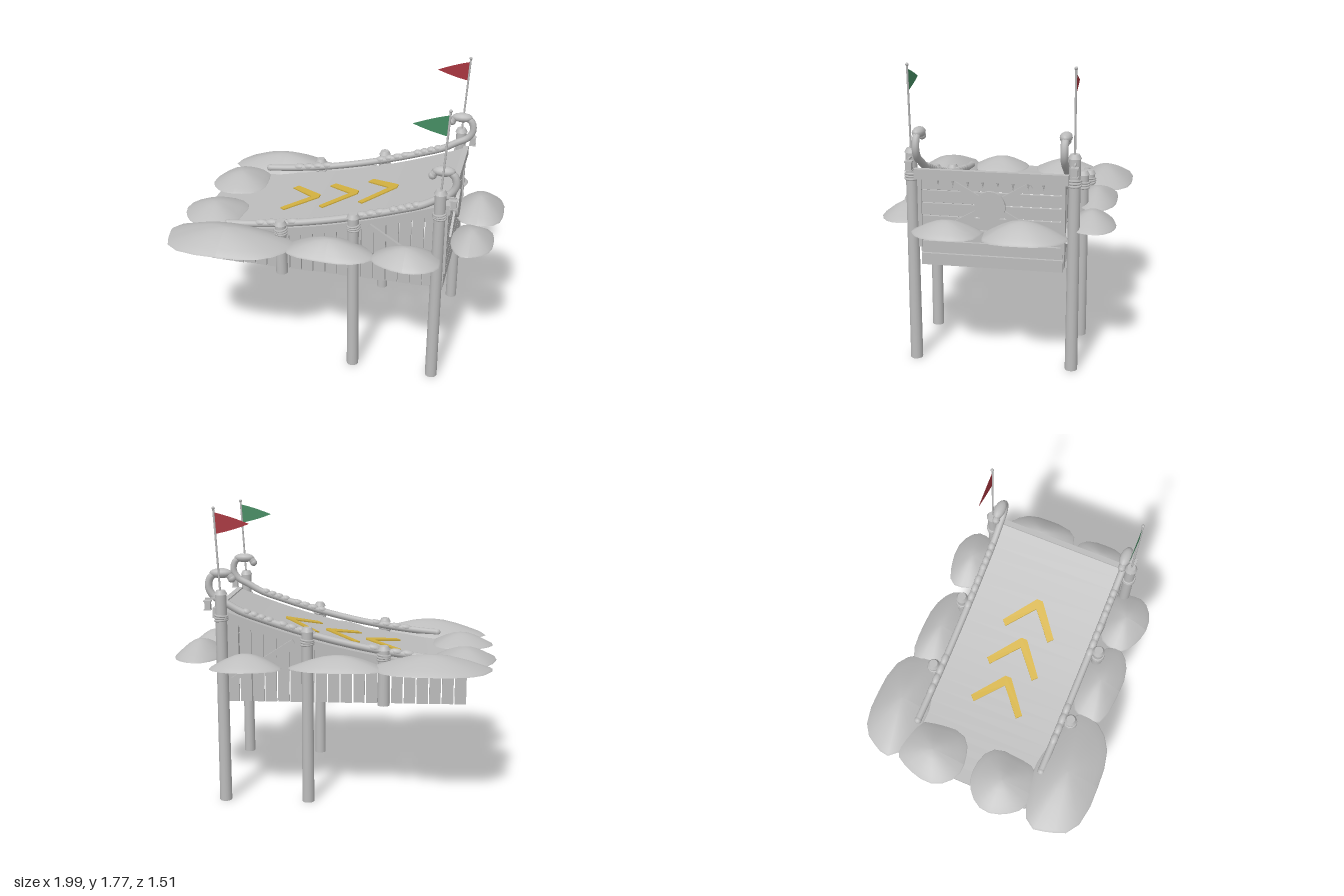
import * as THREE from 'three';

const mat = (name, color) => new THREE.MeshStandardMaterial({ name, color, side: THREE.DoubleSide });

export function createModel() {
  const model = new THREE.Group();
  model.name = 'launchRamp';
  const grey = mat('weatheredGrey', 0xbcbcbc);
  const yellow = mat('arrowYellow', 0xd2b040);
  const green = mat('flagGreen', 0x458c62);
  const red = mat('flagRed', 0xa8353e);

  const ZC = -0.023; // middle of the ramp
  const deckY = x => 0.835 + 0.345 * Math.pow(Math.max(0, (x + 0.89) / 1.6), 1.87);
  const V = (x, y, z) => new THREE.Vector3(x, y, z);

  function add(name, geo, x = 0, y = 0, z = 0, material = grey) {
    const m = new THREE.Mesh(geo, material);
    m.name = name;
    m.position.set(x, y, z);
    model.add(m);
    return m;
  }
  const box = (name, w, h, d, x, y, z) => add(name, new THREE.BoxGeometry(w, h, d), x, y, z);

  // straight bar of rectangular section between two points
  function bar(name, a, b, w, d) {
    const dir = b.clone().sub(a);
    const m = box(name, w, dir.length(), d, 0, 0, 0);
    m.position.copy(a).add(b).multiplyScalar(0.5);
    m.quaternion.setFromUnitVectors(V(0, 1, 0), dir.normalize());
    return m;
  }

  // strip that follows the ramp curve
  function strip(name, x0, x1, top, bottom, z0, z1) {
    const s = new THREE.Shape(), n = 20;
    for (let i = 0; i <= n; i++) {
      const x = x0 + (x1 - x0) * i / n;
      if (i) s.lineTo(x, deckY(x) + top); else s.moveTo(x, deckY(x) + top);
    }
    for (let i = n; i >= 0; i--) {
      const x = x0 + (x1 - x0) * i / n;
      s.lineTo(x, deckY(x) + bottom);
    }
    add(name, new THREE.ExtrudeGeometry(s, { depth: z1 - z0, bevelEnabled: false }), 0, 0, z0);
  }

  // deck and cross beams
  strip('deck', -0.89, 0.705, 0, -0.02, ZC - 0.415, ZC + 0.415);
  for (const x of [-0.6, -0.3, 0, 0.3, 0.55]) box('crossBeam', 0.04, 0.04, 0.8, x, deckY(x) - 0.04, ZC);

  // chevrons lying on the deck
  for (let i = 0; i < 3; i++) {
    const x = -0.4 + i * 0.255;
    const s = new THREE.Shape();
    [[0, 0.145], [0.03, 0.175], [0.222, 0.02], [0.222, -0.02], [0.03, -0.175], [0, -0.145], [0.165, 0]]
      .forEach(([px, pz], k) => k ? s.lineTo(x + px, pz) : s.moveTo(x + px, pz));
    const g = new THREE.ExtrudeGeometry(s, { depth: 0.008, bevelEnabled: false });
    g.rotateX(-Math.PI / 2);
    const p = g.attributes.position;
    for (let k = 0; k < p.count; k++) p.setY(k, p.getY(k) + deckY(p.getX(k)) + 0.002);
    g.computeVertexNormals();
    add('chevron', g, 0, 0, ZC - 0.003, yellow);
  }

  for (const side of [1, -1]) {
    const railZ = ZC + side * 0.417;
    const postZ = ZC + side * 0.467;
    const skirtZ = ZC + side * 0.4;

    // edge stringer
    strip('stringer', -0.82, 0.69, -0.015, -0.055, skirtZ - 0.012, skirtZ + 0.012);

    // vertical skirt planks
    for (let i = 0; i < 19; i++) {
      const x = -0.752 + i * 0.0755;
      const top = deckY(x - 0.035) - 0.02;
      box('skirtPlank', 0.068, top - 0.605, 0.018, x, (top + 0.605) / 2, skirtZ + (i % 3 - 1) * 0.003);
    }
    bar('sideBrace', V(0.24, 0.98, skirtZ + side * 0.02), V(0.61, 0.74, skirtZ + side * 0.02), 0.03, 0.02);

    // hand rail with curled end
    const pts = [];
    for (let x = -0.65; x < 0.6; x += 0.15) pts.push(V(x, deckY(x) + 0.036, railZ));
    for (const [x, y] of [[0.64, 1.205], [0.71, 1.245], [0.74, 1.3], [0.725, 1.36], [0.67, 1.385], [0.62, 1.375], [0.602, 1.35]])
      pts.push(V(x, y, railZ));
    add('handRail', new THREE.TubeGeometry(new THREE.CatmullRomCurve3(pts), 80, 0.022, 10), 0, 0, 0);
    add('railFoot', new THREE.SphereGeometry(0.024, 10, 8), pts[0].x, pts[0].y, railZ);
    add('curlTip', new THREE.SphereGeometry(0.024, 10, 8), 0.602, 1.35, railZ);
    add('curlCrest', new THREE.SphereGeometry(1, 12, 8), 0.665, 1.382, railZ).scale.set(0.068, 0.03, 0.036);

    // bulging wraps on the rail
    for (const [x0, x1] of [[-0.47, -0.2], [0.11, 0.33], [0.36, 0.54]])
      for (let i = 0; i < 4; i++) {
        const x = x0 + (x1 - x0) * (i + 0.5) / 4;
        const m = add('railWrap', new THREE.SphereGeometry(1, 10, 6), x, deckY(x) + 0.044, railZ);
        m.scale.set((x1 - x0) / 6, 0.022, 0.024);
        m.rotation.z = Math.atan2(deckY(x + 0.01) - deckY(x - 0.01), 0.02);
      }

    // posts, caps and rope lashings
    for (const [x, bottom, top, ropeY] of [[0.66, 0, 1.27, 1.125], [0.155, 0, 1.055, 0.985], [-0.295, 0.61, 0.95, 0.9]]) {
      add('post', new THREE.CylinderGeometry(0.033, 0.037, top - bottom, 14), x, (top + bottom) / 2, postZ);
      add('postCap', new THREE.CylinderGeometry(0.026, 0.039, 0.025, 14), x, top + 0.006, postZ);
      for (let i = -1; i <= 1; i++) {
        const r = add('ropeLashing', new THREE.TorusGeometry(0.036, 0.007, 6, 16), x, ropeY + i * 0.013, postZ);
        r.rotation.set(Math.PI / 2, 0.1 * i, 0);
      }
    }

    // lantern on a bracket
    box('lanternBracket', 0.09, 0.01, 0.01, 0.705, 1.24, postZ - 0.008);
    box('lantern', 0.034, 0.045, 0.034, 0.736, 1.2, postZ - 0.008);
    box('lanternLid', 0.044, 0.008, 0.044, 0.736, 1.226, postZ - 0.008);
    box('lanternBase', 0.042, 0.006, 0.042, 0.736, 1.176, postZ - 0.008);

    // flag pole and pennant
    const pole = new THREE.LineCurve3(V(0.662, 1.27, postZ), V(0.69, 1.76, postZ));
    add('flagPole', new THREE.TubeGeometry(pole, 1, 0.006, 8));
    add('poleKnob', new THREE.SphereGeometry(0.01, 8, 6), 0.69, 1.762, postZ);
    const f = new THREE.Shape();
    f.moveTo(0.687, 1.738);
    f.quadraticCurveTo(0.59, 1.715, 0.485, 1.673);
    f.quadraticCurveTo(0.58, 1.635, 0.681, 1.615);
    add('pennant', new THREE.ShapeGeometry(f), 0, 0, postZ, side > 0 ? green : red);
  }

  // end wall of horizontal planks
  for (let i = 0; i < 7; i++) box('wallPlank', 0.02, 0.069, 0.82, 0.685, 0.64 + i * 0.0755, ZC);
  box('topBeam', 0.035, 0.06, 0.88, 0.7, 1.148, ZC);
  for (const s of [1, -1]) {
    box('wallEdge', 0.03, 0.45, 0.022, 0.69, 0.94, ZC + s * 0.412);
    bar('crossBrace', V(0.703, 1.11, ZC + s * 0.23), V(0.703, 0.85, ZC - s * 0.23), 0.014, 0.035);
  }
  add('medallion', new THREE.CylinderGeometry(0.088, 0.088, 0.02, 28), 0.716, 0.98, ZC).rotation.z = Math.PI / 2;

  // small drips below the top beam
  for (let i = 0; i < 8; i++) {
    const h = 0.03 + 0.02 * (i * 3 % 4) / 3;
    const d = add('drip', new THREE.ConeGeometry(0.009, h, 6), 0.708, 1.12 - h / 2, ZC + 0.3 - i * 0.086);
    d.rotation.x = Math.PI;
  }

  // low bell-shaped mounds around the ramp: x, z, half width, half depth, height
  const profile = [[1, 0], [0.97, 0.1], [0.8, 0.33], [0.58, 0.62], [0.32, 0.88], [0.14, 0.98], [0, 1]]
    .map(([r, y]) => new THREE.Vector2(r, y));
  [
    [-0.57, -0.58, 0.35, 0.18, 0.095], [-0.03, -0.565, 0.28, 0.13, 0.08], [0.51, -0.58, 0.21, 0.14, 0.085],
    [0.84, -0.23, 0.155, 0.24, 0.1], [0.835, 0.2, 0.13, 0.2, 0.08], [0.49, 0.515, 0.205, 0.145, 0.085],
    [0.03, 0.52, 0.265, 0.14, 0.085], [-0.6, 0.55, 0.395, 0.205, 0.1],
    [-0.8, 0.2, 0.195, 0.2, 0.075], [-0.79, -0.27, 0.185, 0.215, 0.075],
  ].forEach(([x, z, rx, rz, h], seed) => {
    const g = new THREE.LatheGeometry(profile, 20);
    const p = g.attributes.position;
    for (let i = 0; i < p.count; i++) {
      const a = Math.atan2(p.getZ(i), p.getX(i));
      const c = Math.abs(Math.cos(a)), s = Math.abs(Math.sin(a));
      const k = Math.pow(c ** 2.4 + s ** 2.4, -1 / 2.4)
        * (0.99 + 0.035 * Math.sin(3 * a + seed * 2.1) + 0.025 * Math.sin(5 * a + seed * 1.3));
      p.setXYZ(i, p.getX(i) * k * rx, p.getY(i) * h, p.getZ(i) * k * rz);
    }
    g.computeVertexNormals();
    add('mound', g, x, 0.845, z);
  });

  return model;
}
